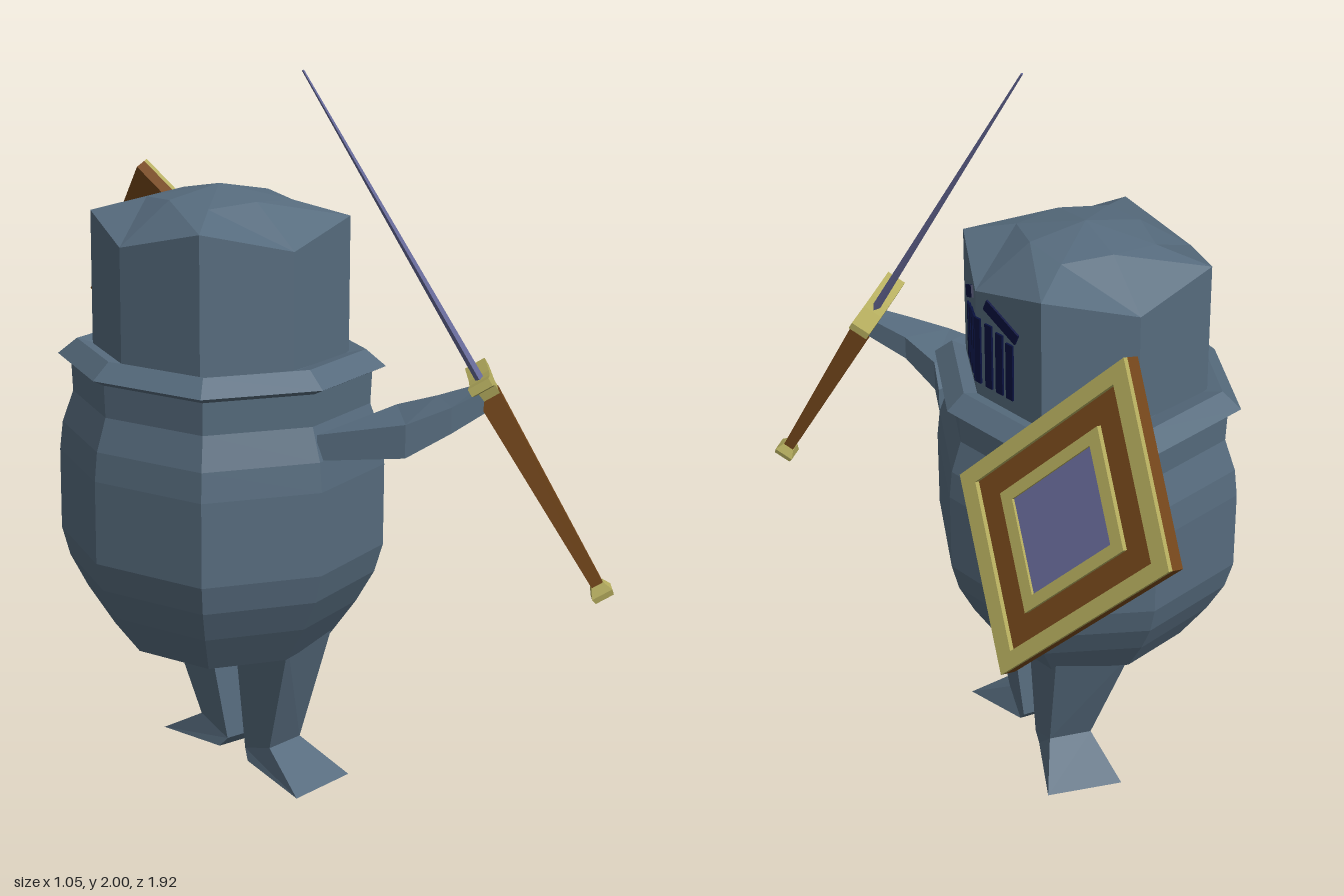
import * as THREE from 'three';

const paint = (color) => new THREE.MeshStandardMaterial({ color, flatShading: true });
const steel = paint(0x566b7d), gold = paint(0xb5ad5e), wood = paint(0x74461a);
const blue = paint(0x686b9a), navy = paint(0x0a1240);

// Faceted solid through rings of [x, y, z] points, turned to face outward
function loft(rings) {
  const tris = [], n = rings[0].length;
  for (let i = 0; i + 1 < rings.length; i++) {
    for (let j = 0; j < n; j++) {
      const k = (j + 1) % n, a = rings[i], b = rings[i + 1];
      tris.push([a[j], b[j], b[k]], [a[j], b[k], a[k]]);
    }
  }
  const last = rings[rings.length - 1];
  for (let j = 1; j + 1 < n; j++) {
    tris.push([rings[0][0], rings[0][j], rings[0][j + 1]]);
    tris.push([last[0], last[j + 1], last[j]]);
  }
  const v = (p) => new THREE.Vector3(...p);
  const volume = tris.reduce((s, [a, b, c]) => s + v(a).dot(v(b).cross(v(c))), 0);
  if (volume < 0) tris.forEach((t) => t.reverse());
  const geo = new THREE.BufferGeometry();
  geo.setAttribute('position', new THREE.Float32BufferAttribute(tris.flat(2), 3));
  geo.computeVertexNormals();
  return geo;
}

const CX = -0.105, CZ = 0.033; // axis of the body

// Octagon around the body axis: radii on the axes and offsets of the diagonal corners
function octagon(yAxis, yDiag, rx, rz, dx, dz) {
  return [[rx, 0], [dx, dz], [0, rz], [-dx, dz], [-rx, 0], [-dx, -dz], [0, -rz], [dx, -dz]]
    .map(([x, z], i) => [CX + x, i % 2 ? yDiag : yAxis, CZ + z]);
}
const bodyRing = ([y, s]) => octagon(y, y, 0.415 * s, 0.445 * s, 0.31 * s, 0.335 * s);

// Box section from an outer and an inner [x, z] point between two heights
const slab = ([ox, oz], [ix, iz], y0, y1) => [[ox, y0, oz], [ox, y1, oz], [ix, y1, iz], [ix, y0, iz]];

function diamond(s) {
  return [[0, s], [-s, 0], [0, -s], [s, 0]].map(([x, y]) => new THREE.Vector2(x, y));
}

// Diamond plate or frame between two depths
function diamondPlate(outer, inner, z0, z1) {
  const shape = new THREE.Shape(diamond(outer));
  if (inner) shape.holes.push(new THREE.Path(diamond(inner)));
  return new THREE.ExtrudeGeometry(shape, { depth: z1 - z0, bevelEnabled: false }).translate(0, 0, z0);
}

export function createModel() {
  const model = new THREE.Group();
  const add = (name, geo, mat, parent = model) => {
    const mesh = new THREE.Mesh(geo, mat);
    mesh.name = name;
    parent.add(mesh);
    return mesh;
  };
  const addGroup = (name, parent = model) => {
    const g = new THREE.Group();
    g.name = name;
    parent.add(g);
    return g;
  };

  // Barrel body and flared collar
  add('body', loft([[0.35, 0.2], [0.41, 0.67], [0.52, 0.84], [0.61, 0.95], [0.69, 1], [0.92, 1],
    [1.0, 0.98], [1.09, 0.91], [1.19, 0.92]].map(bodyRing)), steel);
  add('collar', loft([[1.17, 0.88], [1.195, 1], [1.24, 0.88], [1.225, 0.74]].map(bodyRing)), steel);

  // Helmet with a shallow faceted crown
  add('helmet', loft([
    octagon(1.2, 1.2, 0.325, 0.325, 0.25, 0.25),
    octagon(1.54, 1.6, 0.325, 0.325, 0.25, 0.25),
    octagon(1.65, 1.64, 0.165, 0.165, 0.14, 0.14),
    octagon(1.68, 1.68, 0.003, 0.003, 0.002, 0.002),
  ]), steel);

  // Visor slots on the two facets that face +x
  for (const s of [-1, 1]) {
    const visor = addGroup('visorSide');
    visor.position.set(CX + 0.325, 0, CZ);
    visor.rotation.y = -s * 0.291;
    for (const [d, w, top] of [[0.011, 0.022, 1.465], [0.055, 0.027, 1.46], [0.098, 0.027, 1.45], [0.139, 0.027, 1.435]]) {
      add('visorSlot', new THREE.BoxGeometry(0.012, top - 1.27, w), navy, visor)
        .position.set(0, (top + 1.27) / 2, s * d);
    }
    const brow = add('browSlot', new THREE.BoxGeometry(0.012, 0.034, 0.138), navy, visor);
    brow.position.set(0, 1.488, s * 0.106);
    brow.rotation.x = s * 0.44;
  }

  // Mirrored arms, legs and feet
  for (const s of [1, -1]) {
    const side = (ring) => ring.map(([x, y, z]) => [x, y, CZ + s * (z - CZ)]);
    add('arm', loft([
      slab([-0.1, 0.45], [0.2, 0.36], 1.0, 1.07),
      slab([0.05, 0.626], [0.175, 0.45], 1.02, 1.11),
      slab([0.16, 0.68], [0.22, 0.56], 1.08, 1.15),
      slab([0.26, 0.71], [0.3, 0.65], 1.13, 1.19),
    ].map(side)), steel);
    add('leg', loft([
      [[-0.105, 0.45, 0.34], [0.1, 0.45, 0.28], [0.1, 0.4, 0.1], [-0.105, 0.4, 0.1]],
      [[-0.055, 0.09, 0.195], [0.07, 0.09, 0.175], [0.07, 0.05, 0.075], [-0.05, 0.05, 0.075]],
    ].map(side)), steel);
    add('foot', loft([
      [[-0.055, 0.09, 0.195], [0.07, 0.09, 0.175], [0.07, 0.05, 0.075], [-0.05, 0.05, 0.075]],
      [[-0.08, 0, 0.35], [0.14, 0, 0.31], [0.07, 0.02, 0.1], [-0.06, 0.02, 0.1]],
    ].map(side)), steel);
  }

  // Diamond shield, laid out on its own two half diagonals
  const shield = addGroup('shield');
  const up = new THREE.Vector3(-0.16, 0.43, -0.015);
  const across = new THREE.Vector3(-0.13, 0.01, -0.325);
  const normal = new THREE.Vector3().crossVectors(across, up).normalize();
  const toShield = new THREE.Matrix4().makeBasis(across, up, normal).setPosition(0.29, 1.22, -0.632);
  const shieldPart = (name, mat, ...dims) =>
    add(name, diamondPlate(...dims).applyMatrix4(toShield), mat, shield);
  shieldPart('shieldBoard', wood, 1, 0, -0.055, -0.014);
  shieldPart('shieldRim', gold, 1, 0.84, -0.014, 0);
  shieldPart('shieldInnerFrame', gold, 0.59, 0.47, -0.014, 0);
  shieldPart('shieldCentre', blue, 0.47, 0, -0.014, -0.008);

  // Sword, built upright around the guard and then tilted
  const sword = addGroup('sword');
  const axis = new THREE.Vector3(-0.55, 1.365, -0.6).normalize();
  const width = new THREE.Vector3(0.64, 0, -0.77);
  width.addScaledVector(axis, -width.dot(axis)).normalize();
  const depth = new THREE.Vector3().crossVectors(width, axis);
  sword.applyMatrix4(new THREE.Matrix4().makeBasis(width, axis, depth).setPosition(0.271, 1.19, 0.681));
  const flat = (y, w, d) => [[-w, y, 0], [0, y, d], [w, y, 0], [0, y, -d]];
  const square = (y, h) => [[-h, y, -h], [-h, y, h], [h, y, h], [h, y, -h]];
  add('blade', loft([flat(0, 0.028, 0.012), flat(0.943, 0.007, 0.003)]), blue, sword);
  add('handle', loft([square(-0.625, 0.016), square(-0.02, 0.032)]), wood, sword);
  add('pommel', loft([square(-0.65, 0.027), square(-0.635, 0.03), square(-0.61, 0.018)]), gold, sword);
  const half = [[0.035, 0.025], [0.155, 0.04], [0.155, 0.018], [0.04, -0.005], [0.03, -0.035]];
  const outline = [...half, ...half.map(([x, y]) => [-x, y]).reverse()];
  const guard = new THREE.Shape(outline.map(([x, y]) => new THREE.Vector2(x, y)));
  add('guard', new THREE.ExtrudeGeometry(guard, { depth: 0.06, bevelEnabled: false })
    .translate(0, 0, -0.03), gold, sword);

  return model;
}
